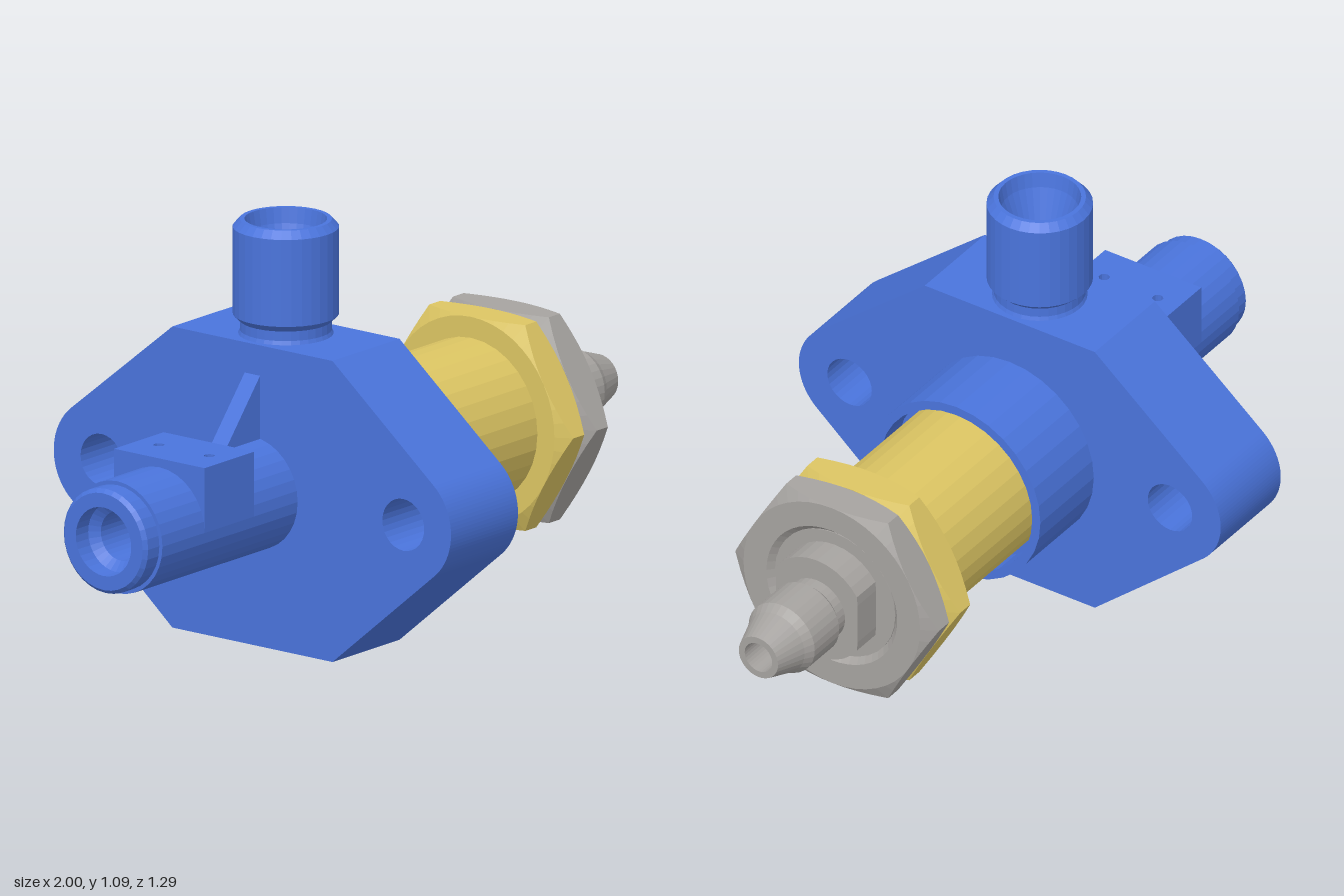
import * as THREE from 'three';

const AXIS = 0.4; // height of the main axis

const blue = new THREE.MeshStandardMaterial({ color: 0x4a74dc });
blue.name = 'blue body';
const brass = new THREE.MeshStandardMaterial({ color: 0xdcc563 });
brass.name = 'brass';
const steel = new THREE.MeshStandardMaterial({ color: 0xa6a3a0 });
steel.name = 'grey steel';

export function createModel() {
  const group = new THREE.Group();
  group.name = 'valve';

  // Facets the geometry and adds it as a named mesh
  const add = (name, geometry, material) => {
    const g = geometry.index ? geometry.toNonIndexed() : geometry;
    g.computeVertexNormals();
    const mesh = new THREE.Mesh(g, material);
    mesh.name = name;
    group.add(mesh);
    return mesh;
  };

  // Profile of [radius, position] pairs, running up the outside
  const lathe = (profile, segments = 32) =>
    new THREE.LatheGeometry(profile.map(([r, p]) => new THREE.Vector2(r, p)), segments);
  const alongX = (g) => g.rotateZ(-Math.PI / 2).translate(0, AXIS, 0);

  // Flange with rounded ears and two bolt holes
  const earZ = 0.49, earR = 0.155, tangent = 0.876;
  const outline = new THREE.Shape();
  outline.moveTo(-0.26, 0);
  outline.lineTo(0.26, 0);
  outline.absarc(earZ, AXIS, earR, -tangent, tangent, false);
  outline.lineTo(0.26, 0.79);
  outline.lineTo(-0.26, 0.79);
  outline.absarc(-earZ, AXIS, earR, Math.PI - tangent, Math.PI + tangent, false);
  outline.closePath();
  for (const s of [-1, 1]) {
    outline.holes.push(new THREE.Path().absarc(s * earZ, AXIS, 0.068, 0, Math.PI * 2, true));
  }
  add('flange',
    new THREE.ExtrudeGeometry(outline, { depth: 0.27, bevelEnabled: false, curveSegments: 14 })
      .rotateY(Math.PI / 2).translate(-0.4, 0, 0), blue);

  // Collar with a shallow recess round the sleeve
  add('collar', alongX(lathe([
    [0.257, -0.14], [0.257, 0.11], [0.232, 0.11], [0.232, 0.03], [0.2, 0.03],
  ])), blue);

  // Bored inlet tube with a stepped end
  add('inletTube', alongX(lathe([
    [0, -0.72], [0.065, -0.72], [0.065, -0.93], [0.09, -0.95], [0.09, -1], [0.127, -1],
    [0.137, -0.99], [0.137, -0.945], [0.147, -0.945], [0.147, -0.38],
  ])), blue);

  // Saddle block on the inlet tube, with two pin holes
  const plan = new THREE.Shape();
  plan.moveTo(-0.775, -0.147);
  plan.lineTo(-0.575, -0.147);
  plan.lineTo(-0.575, 0.147);
  plan.lineTo(-0.775, 0.147);
  plan.closePath();
  for (const z of [-0.082, 0.082]) {
    plan.holes.push(new THREE.Path().absarc(-0.675, z, 0.014, 0, Math.PI * 2, true));
  }
  add('saddleBlock',
    new THREE.ExtrudeGeometry(plan, { depth: 0.17, bevelEnabled: false, curveSegments: 6 })
      .rotateX(Math.PI / 2).translate(0, 0.57, 0), blue);

  // Triangular rib between tube and flange
  const rib = new THREE.Shape([
    new THREE.Vector2(-0.54, 0.545), new THREE.Vector2(-0.54, 0.5), new THREE.Vector2(-0.39, 0.5),
    new THREE.Vector2(-0.39, 0.722),
  ]);
  add('rib', new THREE.ExtrudeGeometry(rib, { depth: 0.05, bevelEnabled: false })
    .translate(0, 0, -0.025), blue);

  // Upright port with a conical seat
  add('topPort', lathe([
    [0.125, 0.78], [0.117, 0.8], [0.117, 0.825], [0.135, 0.842], [0.135, 1.07], [0.117, 1.09],
    [0.105, 1.09], [0.098, 1.05], [0.035, 0.87], [0.035, 0.8], [0, 0.8],
  ]).translate(-0.265, 0, 0), blue);

  // Brass sleeve
  add('sleeve', alongX(lathe([[0.215, 0.02], [0.215, 0.55]])), brass);

  // Chamfered hexagon nut: a ring whose outer loops are pushed out to the hexagon
  const hexNut = (x0, x1) => {
    const flat = 0.27, bore = 0.182;
    const profile = [
      [bore, x0 + 0.02], [bore + 0.018, x0], [flat, x0], [1, x0], [1, x1], [flat, x1],
      [bore + 0.018, x1], [bore, x1 - 0.02], [bore, x0 + 0.02],
    ];
    const n = profile.length;
    const g = lathe(profile, 48);
    const p = g.attributes.position;
    for (let i = 0; i < p.count; i++) {
      const j = i % n;
      if (j !== 3 && j !== 4) continue;
      const step = Math.floor(i / n);
      const a = step * Math.PI / 24;
      const r = flat / Math.cos((step % 8) * Math.PI / 24 - Math.PI / 6);
      const drop = (r - flat) * 0.58;
      p.setXYZ(i, r * Math.sin(a), j === 3 ? x0 + drop : x1 - drop, r * Math.cos(a));
    }
    return alongX(g);
  };
  add('brassNut', hexNut(0.482, 0.575), brass);
  add('lockNut', hexNut(0.577, 0.67), steel);

  // Plate seated inside the lock nut
  add('seatPlate', alongX(lathe([[0.184, 0.6], [0.184, 0.655], [0, 0.655]])), steel);

  // Round shoulder with two wrench flats
  const shoulder = lathe([[0.148, 0.64], [0.148, 0.738], [0, 0.738]]);
  const sp = shoulder.attributes.position;
  for (let i = 0; i < sp.count; i++) {
    sp.setZ(i, THREE.MathUtils.clamp(sp.getZ(i), -0.125, 0.125));
  }
  add('wrenchShoulder', alongX(shoulder), steel);

  // Nozzle with a tapered, bored tip
  add('nozzle', alongX(lathe([
    [0.087, 0.73], [0.087, 0.77], [0.101, 0.785], [0.101, 0.895], [0.087, 0.92],
    [0.06, 1], [0.042, 1], [0.042, 0.88], [0, 0.88],
  ])), steel);

  return group;
}
